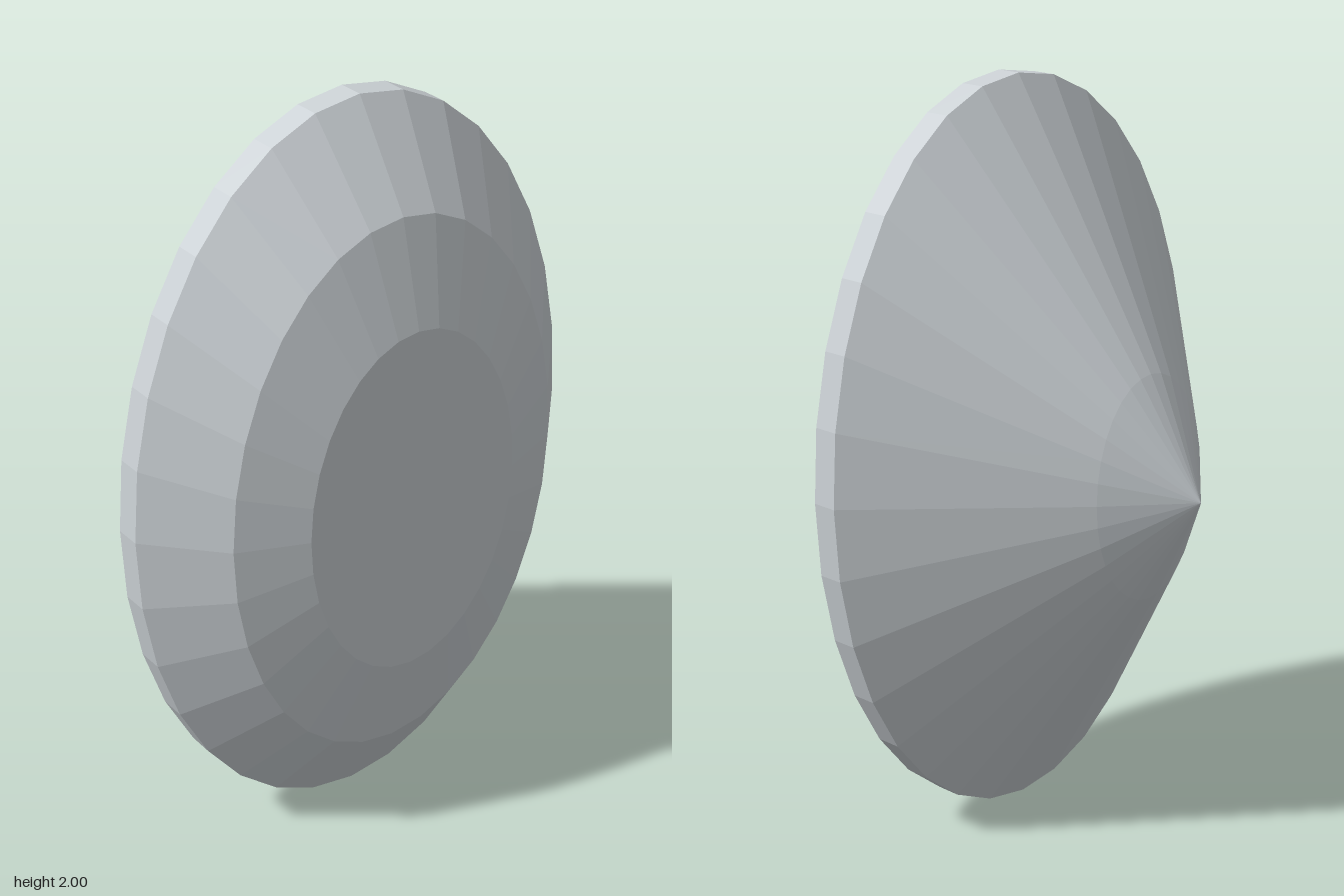
import * as THREE from 'three';

const SEGMENTS = 32;
const WIDTH_RATIO = 0.66;

// Profile points are [radius, z], running from back to front.
const PARTS = {
  pavilion: [[0, -0.47], [0.3, -0.3], [1, 0.155]],
  girdle: [[1, 0.155], [1, 0.225]],
  crown: [[1, 0.225], [0.748, 0.4], [0.477, 0.47]],
  table: [[0.477, 0.47], [0, 0.47]],
};

// Faceted oval ring turned about the z axis
function facetedOval(profile) {
  const points = profile.map(([r, z]) => new THREE.Vector2(r, z));
  const geometry = new THREE.LatheGeometry(points, SEGMENTS).toNonIndexed();
  geometry.rotateX(Math.PI / 2);
  geometry.scale(WIDTH_RATIO, 1, 1);
  geometry.translate(0, 1, 0);
  geometry.computeVertexNormals();
  return geometry;
}

export function createModel() {
  const gem = new THREE.Group();
  gem.name = 'ovalGem';

  const material = new THREE.MeshStandardMaterial({ color: 0xccd2d6 });
  material.name = 'paleGrey';

  for (const [name, profile] of Object.entries(PARTS)) {
    const mesh = new THREE.Mesh(facetedOval(profile), material);
    mesh.name = name;
    gem.add(mesh);
  }
  return gem;
}
